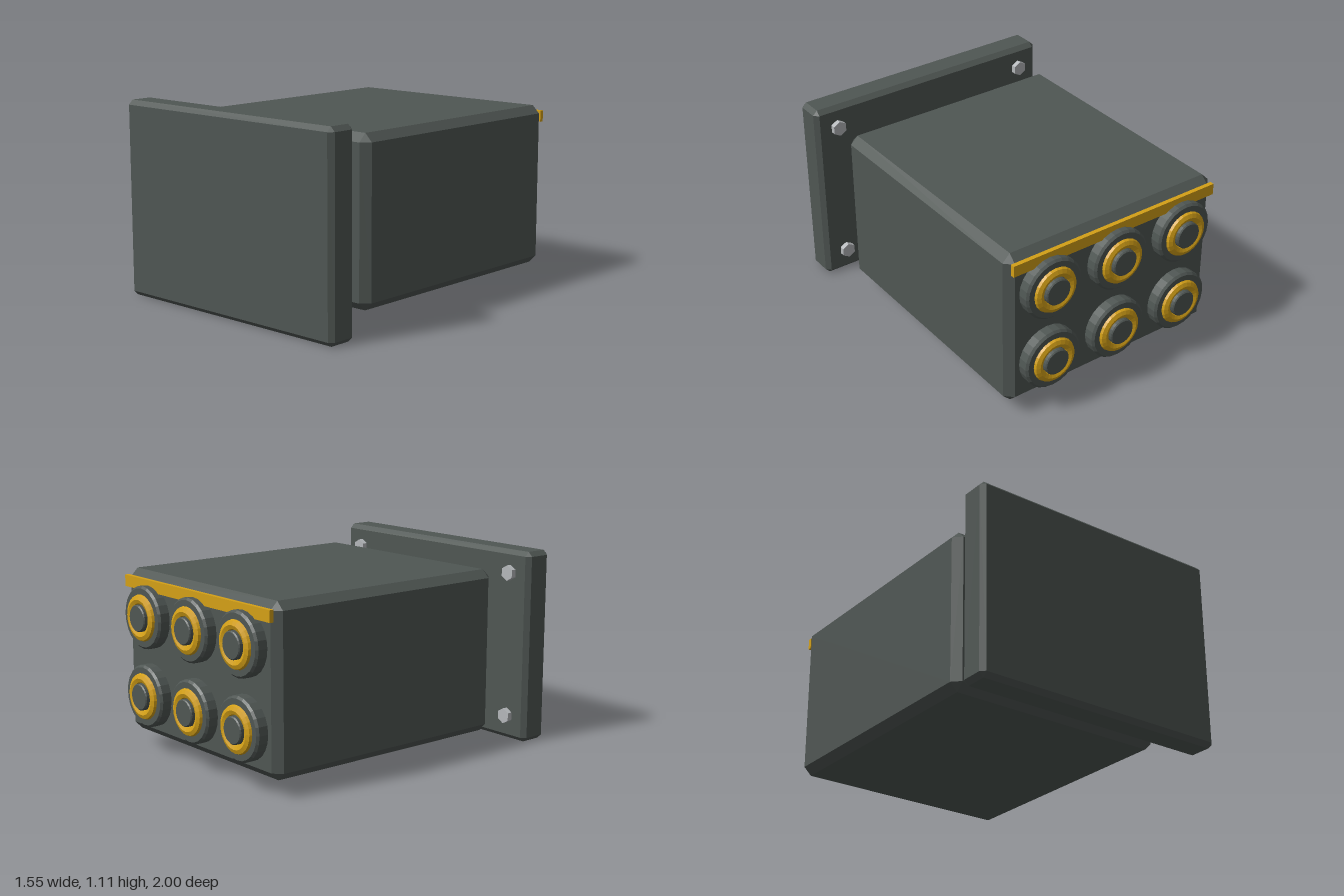
import * as THREE from 'three';
import { ConvexGeometry } from 'three/addons/geometries/ConvexGeometry.js';

const material = (name, color, flat = true) => {
  const m = new THREE.MeshStandardMaterial({ color, flatShading: flat });
  m.name = name;
  return m;
};

// Box with every edge cut at 45 degrees
function chamferBox(w, h, d, c) {
  const points = [];
  for (const x of [-1, 1]) for (const y of [-1, 1]) for (const z of [-1, 1]) {
    for (let axis = 0; axis < 3; axis++) {
      const inset = [c, c, c];
      inset[axis] = 0;
      points.push(new THREE.Vector3(
        x * (w / 2 - inset[0]), y * (h / 2 - inset[1]), z * (d / 2 - inset[2])));
    }
  }
  return new ConvexGeometry(points);
}

export function createModel() {
  const dark = material('dark grey', 0x4f5653);
  const gold = material('gold', 0xd4a017);
  const steel = material('steel', 0xb4b7ba);
  const group = new THREE.Group();

  const add = (parent, name, geometry, mat, x = 0, y = 0, z = 0) => {
    const mesh = new THREE.Mesh(geometry, mat);
    mesh.name = name;
    mesh.position.set(x, y, z);
    parent.add(mesh);
    return mesh;
  };

  // Main housing and the separate front plate
  add(group, 'body', chamferBox(1.37, 0.935, 1.545, 0.045), dark, 0, 0.5575, -0.1275);
  add(group, 'frontPlate', chamferBox(1.555, 1.11, 0.175, 0.026), dark, 0, 0.555, 0.9125);

  // Trim strip along the top of the back
  add(group, 'trimStrip', new THREE.BoxGeometry(1.33, 0.065, 0.025), gold, 0, 0.957, -0.9105);

  // Hex bolts on the back of the front plate
  const boltGeometry = new THREE.CylinderGeometry(0.045, 0.045, 0.04, 6).rotateX(-Math.PI / 2);
  for (const x of [-0.64, 0.64]) for (const y of [0.14, 0.98]) {
    add(group, 'bolt', boltGeometry, steel, x, y, 0.815);
  }

  // Round ports: stepped rim, gold ring, centre cap; local +y points backwards
  const lathe = (...profile) =>
    new THREE.LatheGeometry(profile.map(([r, y]) => new THREE.Vector2(r, y)), 24);
  const rimGeometry = lathe([0.177, -0.01], [0.177, 0.055], [0.165, 0.067], [0, 0.067]);
  const ringGeometry = new THREE.TorusGeometry(0.104, 0.031, 8, 24).rotateX(Math.PI / 2);
  const capGeometry = lathe([0.076, 0.05], [0.076, 0.094], [0.07, 0.1], [0, 0.1]);
  for (const x of [-0.437, 0, 0.437]) for (const y of [0.335, 0.782]) {
    const port = new THREE.Group();
    port.name = 'port';
    port.position.set(x, y, -0.9);
    port.rotation.x = -Math.PI / 2;
    add(port, 'portRim', rimGeometry, dark);
    add(port, 'portRing', ringGeometry, gold, 0, 0.059, 0);
    add(port, 'portCap', capGeometry, dark);
    group.add(port);
  }

  return group;
}
